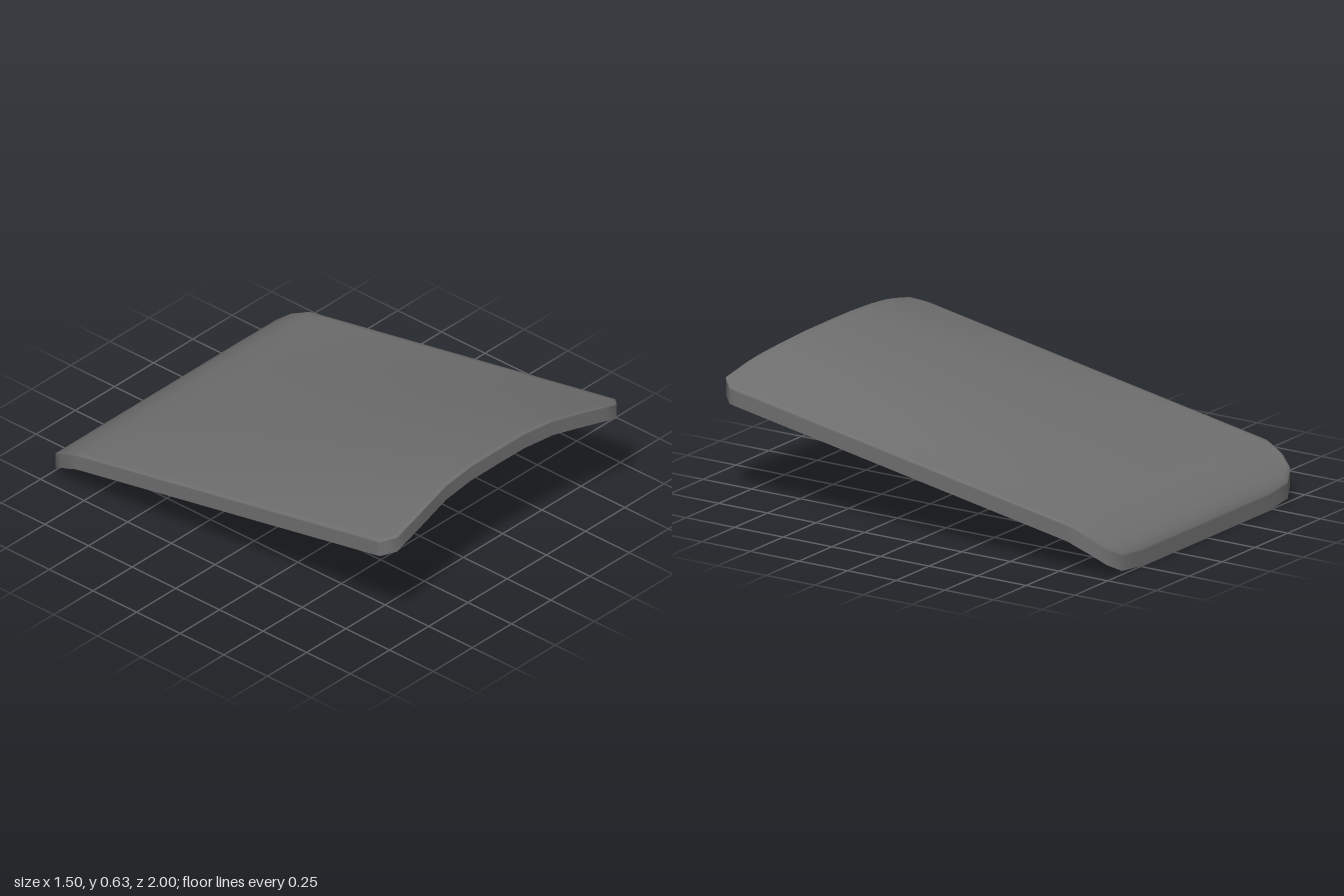
import * as THREE from 'three';

// Piecewise-linear lookup through [key, value] points.
function lookup(points, k) {
  if (k <= points[0][0]) return points[0][1];
  for (let i = 1; i < points.length; i++) {
    const [k0, v0] = points[i - 1], [k1, v1] = points[i];
    if (k <= k1) return v0 + (v1 - v0) * (k - k0) / (k1 - k0);
  }
  return points[points.length - 1][1];
}

// Outline: front and back edge by distance from the centre line.
const FRONT_Z = [[0, 0.945], [0.17, 0.945], [0.34, 0.955], [0.52, 0.983], [0.7, 0.998], [0.75, 0.945]];
const BACK_Z = [[0, -1], [0.48, -1], [0.63, -0.993], [0.705, -0.957], [0.735, -0.895], [0.75, -0.82]];
// Height of the arched front, and of the lip that curls down at the back.
const CROWN = [[0, 0.633], [0.17, 0.632], [0.34, 0.618], [0.52, 0.584], [0.7, 0.54], [0.75, 0.528]];
const LIP = [[-1, 0.075], [-0.985, 0.1], [-0.955, 0.13], [-0.89, 0.175], [-0.8, 0.213]];
const SKIRT = 0.075;

function topHeight(x, z) {
  if (z < -0.8) return lookup(LIP, z);
  const t = (z + 0.8) / 1.745;
  return 0.213 + (lookup(CROWN, Math.abs(x)) - 0.213) * t;
}

function shellGeometry() {
  const half = [0.17, 0.34, 0.48, 0.56, 0.63, 0.7, 0.73, 0.75];
  const xs = [...half.map((x) => -x).reverse(), 0, ...half];
  const rows = [0, 0.008, 0.022, 0.04, 0.055, 0.08, 0.1, 0.15, 0.3, 0.5, 0.7, 0.9, 0.985, 1];
  const n = xs.length, m = rows.length;
  const pos = [], index = [];

  // Top surface
  for (const t of rows) {
    for (const x of xs) {
      const a = Math.abs(x);
      const z = THREE.MathUtils.lerp(lookup(BACK_Z, a), lookup(FRONT_Z, a), t);
      pos.push(x, topHeight(x, z), z);
    }
  }
  const quad = (a, b, c, d) => index.push(a, b, c, a, c, d);
  for (let j = 0; j < m - 1; j++) {
    for (let i = 0; i < n - 1; i++) {
      const a = j * n + i;
      quad(a, a + n, a + n + 1, a + 1);
    }
  }

  // Skirt: the rim of the top dropped straight down, open underneath
  const rim = [];
  for (let i = 0; i < n - 1; i++) rim.push((m - 1) * n + i);
  for (let j = m - 1; j > 0; j--) rim.push(j * n + n - 1);
  for (let i = n - 1; i > 0; i--) rim.push(i);
  for (let j = 0; j < m - 1; j++) rim.push(j * n);
  let ring = rim;
  for (const drop of [0.01, SKIRT]) {
    const next = rim.map((v) => {
      pos.push(pos[v * 3], pos[v * 3 + 1] - drop, pos[v * 3 + 2]);
      return pos.length / 3 - 1;
    });
    for (let k = 0; k < ring.length; k++) {
      const l = (k + 1) % ring.length;
      quad(ring[k], next[k], next[l], ring[l]);
    }
    ring = next;
  }

  const geometry = new THREE.BufferGeometry();
  geometry.setAttribute('position', new THREE.Float32BufferAttribute(pos, 3));
  geometry.setIndex(index);
  geometry.computeVertexNormals();
  return geometry;
}

export function createModel() {
  const group = new THREE.Group();
  group.name = 'curvedPanel';
  const material = new THREE.MeshStandardMaterial({ color: 0x6f6f6f, side: THREE.DoubleSide });
  const shell = new THREE.Mesh(shellGeometry(), material);
  shell.name = 'panelShell';
  group.add(shell);
  return group;
}
